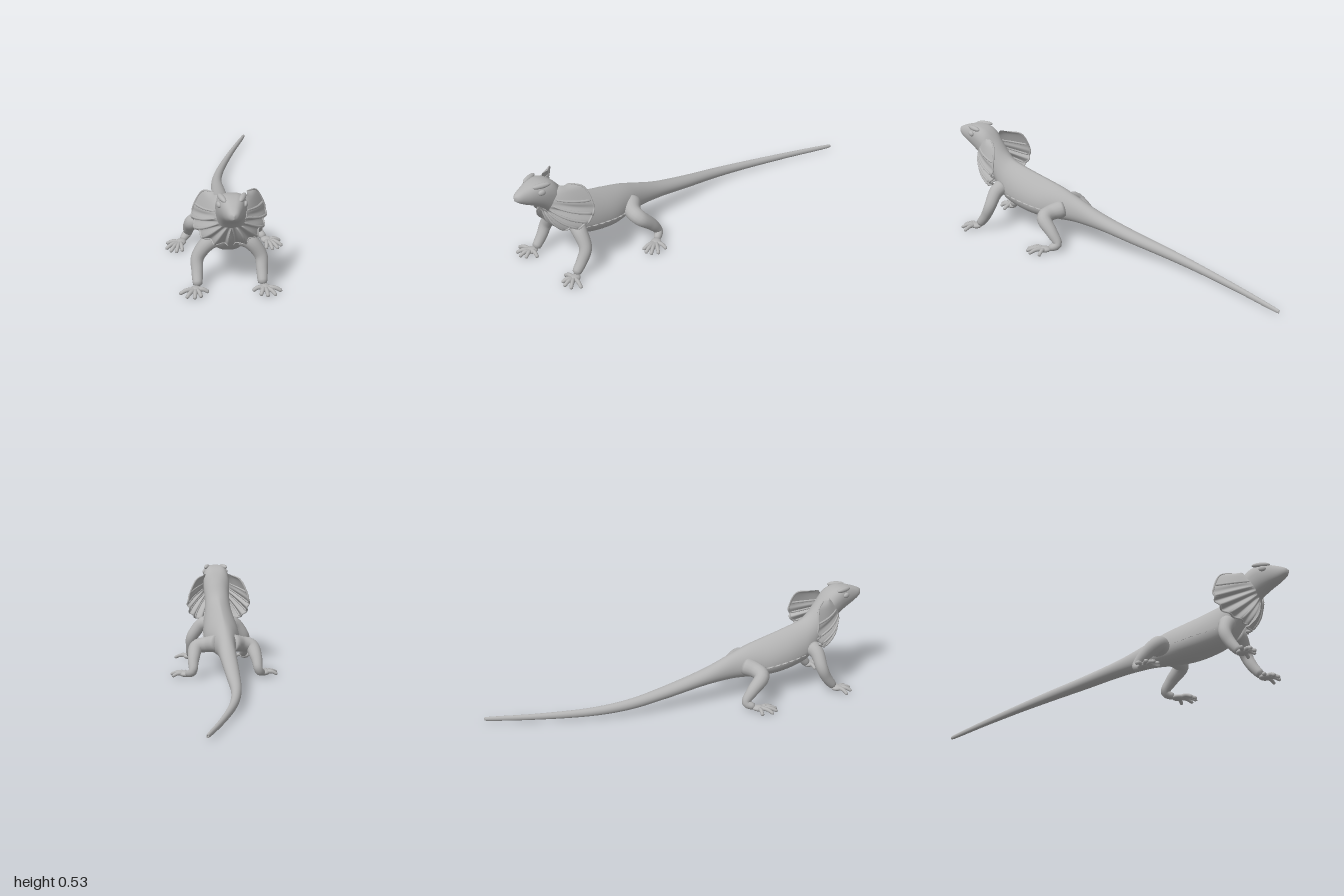
import * as THREE from 'three';
import { mergeVertices } from 'three/addons/utils/BufferGeometryUtils.js';

const skin = new THREE.MeshStandardMaterial({ color: 0xb4b4b4, side: THREE.DoubleSide });
skin.name = 'grey skin';

const V = (p) => new THREE.Vector3(...p);
const spline = (pts) => new THREE.CatmullRomCurve3(pts.map(V), false, 'catmullrom', 0.5);

// Smooth surface from fn(u, v) -> [x, y, z]
function grid(fn, nu, nv) {
  const pos = [], idx = [];
  for (let i = 0; i <= nu; i++) for (let j = 0; j <= nv; j++) pos.push(...fn(i / nu, j / nv));
  for (let i = 0; i < nu; i++) for (let j = 0; j < nv; j++) {
    const a = i * (nv + 1) + j, b = a + nv + 1;
    idx.push(a, b, a + 1, b, b + 1, a + 1);
  }
  let g = new THREE.BufferGeometry();
  g.setAttribute('position', new THREE.Float32BufferAttribute(pos, 3));
  g.setIndex(idx);
  g = mergeVertices(g, 1e-5);
  g.computeVertexNormals();
  return g;
}

// Tapered tube with rounded ends along a smooth path
function limb(pts, radii, nu = 20, nv = 12) {
  const curve = spline(pts), f = curve.computeFrenetFrames(nu, false);
  const rc = spline(radii.map((r, i) => [r, i, 0]));
  return grid((u, v) => {
    const i = Math.round(u * nu), a = (v % 1) * Math.PI * 2;
    const r = rc.getPoint(u).x * Math.sqrt(Math.max(0, 1 - (2 * u - 1) ** 20));
    return curve.getPointAt(u)
      .addScaledVector(f.normals[i], r * Math.cos(a))
      .addScaledVector(f.binormals[i], -r * Math.sin(a)).toArray();
  }, nu, nv);
}

function ellipsoid(size, at, turn = 0) {
  return new THREE.SphereGeometry(1, 20, 14).scale(...size).rotateY(turn).translate(...at);
}

// z, centre x, top, bottom, half width, height of widest point, squareness of the top
const sections = [
  [1.0, 0, 0.485, 0.47, 0, 0.5, 0.8],
  [0.985, 0, 0.498, 0.455, 0.022, 0.5, 0.8],
  [0.95, 0, 0.513, 0.432, 0.038, 0.5, 0.75],
  [0.9, 0, 0.526, 0.405, 0.055, 0.55, 0.6],
  [0.85, 0, 0.526, 0.37, 0.068, 0.6, 0.6],
  [0.8, 0, 0.506, 0.315, 0.072, 0.6, 0.7],
  [0.75, 0, 0.455, 0.235, 0.068, 0.5, 0.9],
  [0.7, 0, 0.395, 0.175, 0.075, 0.4, 1],
  [0.65, 0, 0.363, 0.145, 0.086, 0.35, 1.2],
  [0.55, 0, 0.333, 0.118, 0.095, 0.35, 1.4],
  [0.45, 0, 0.306, 0.107, 0.092, 0.35, 1.4],
  [0.35, 0, 0.277, 0.108, 0.07, 0.4, 1.2],
  [0.25, 0, 0.237, 0.11, 0.05, 0.45, 1],
  [0.1, 0, 0.18, 0.098, 0.042, 0.5, 1],
  [-0.1, 0, 0.128, 0.065, 0.035, 0.5, 1],
  [-0.3, 0.005, 0.088, 0.035, 0.026, 0.5, 1],
  [-0.5, 0.04, 0.062, 0.02, 0.02, 0.5, 1],
  [-0.75, 0.115, 0.045, 0.014, 0.014, 0.5, 1],
  [-0.98, 0.198, 0.034, 0.013, 0.009, 0.5, 1],
  [-1.0, 0.205, 0.026, 0.022, 0, 0.5, 1],
];

function bodyGeometry() {
  const a = spline(sections.map((s) => [s[1], s[2], s[0]]));
  const b = spline(sections.map((s) => [s[4], s[3], s[0]]));
  const c = spline(sections.map((s) => [s[5], s[6], s[0]]));
  return grid((u, v) => {
    const A = a.getPoint(u), B = b.getPoint(u), C = c.getPoint(u);
    const t = (v % 1) * Math.PI * 2, cos = Math.cos(t), sin = Math.sin(t);
    const mid = B.y + (A.y - B.y) * C.x;
    const x = B.x * Math.sign(cos) * Math.abs(cos) ** (sin > 0 ? C.y : 0.8);
    return [A.x + x, mid + sin * (sin > 0 ? A.y - mid : mid - B.y), A.z];
  }, 114, 40);
}

// Neck frill: a pleated sheet between the jaw line and the outer rim
const jaw = spline([[0.06, 0.49, 0.785], [0.068, 0.455, 0.81], [0.07, 0.42, 0.83], [0.062, 0.39, 0.845],
  [0.05, 0.37, 0.85], [0.025, 0.36, 0.85], [0, 0.355, 0.85]]);
const rim = spline([[0.075, 0.488, 0.745], [0.125, 0.465, 0.69], [0.165, 0.375, 0.67], [0.163, 0.315, 0.68],
  [0.135, 0.265, 0.71], [0.075, 0.24, 0.76], [0, 0.235, 0.775]]);

function frillPoint(side, t, s) {
  const p = jaw.getPoint(t).lerp(rim.getPoint(t), s);
  const pleat = 0.015 * Math.sin(s * 2.3) * THREE.MathUtils.smoothstep(t, 0.25, 0.55);
  const bulge = 0.012 * Math.sin(Math.PI * s);
  const d = pleat * Math.cos(t * Math.PI * 14) + bulge;
  p.addScaledVector(V([0.5, -0.2, 0.8]), d);
  return [p.x * side, p.y, p.z];
}

// Toe tips of the hands and feet, on the left side
const hand = { palm: [0.16, 0.02, 0.8], toes: [[0.1, 0.81], [0.135, 0.858], [0.168, 0.872], [0.207, 0.862], [0.238, 0.82]] };
const foot = { palm: [0.213, 0.02, 0.318], toes: [[0.205, 0.4], [0.236, 0.412], [0.265, 0.402], [0.287, 0.37], [0.282, 0.31]] };

export function createModel() {
  const model = new THREE.Group();
  model.name = 'lizard';
  const add = (name, geo, parent = model) => {
    const m = new THREE.Mesh(geo, skin);
    m.name = name;
    parent.add(m);
  };

  add('bodyHeadAndTail', bodyGeometry());

  for (const side of [1, -1]) {
    const word = side > 0 ? 'left' : 'right';
    const half = new THREE.Group();
    half.name = word + 'Side';
    model.add(half);
    const m = (p) => [p[0] * side, p[1], p[2]];

    // Brow ridge and eye
    add(word + 'Brow', ellipsoid([0.014, 0.013, 0.045], m([0.046, 0.518, 0.875]), -side * 0.3), half);
    add(word + 'Eye', ellipsoid([0.01, 0.014, 0.018], m([0.06, 0.49, 0.885]), -side * 0.3), half);

    // Frill sheet, thick rim and supporting ribs
    add(word + 'Frill', grid((u, v) => frillPoint(side, u, v), 84, 12), half);
    const edge = Array.from({ length: 43 }, (_, i) => frillPoint(side, i / 42, 1));
    add(word + 'FrillRim', limb(edge, [0.004, 0.005, 0.004], 84, 8), half);
    for (const k of [4, 6, 8, 10, 12]) {
      const rib = [0, 0.25, 0.5, 0.75, 1].map((s) => frillPoint(side, k / 14, s));
      add(word + 'FrillRib', limb(rib, [0.004, 0.006, 0.006], 14, 8), half);
    }

    // Scalloped skin fringe along the flank
    add(word + 'FlankFringe', grid((u, v) => {
      const taper = Math.sin(Math.PI * u) ** 0.5;
      const out = 0.07 + v * (0.026 * taper + 0.007 * Math.abs(Math.sin(u * Math.PI * 7)));
      return m([out, 0.215 - u * 0.04 - v * 0.012, 0.66 - u * 0.28]);
    }, 56, 3), half);

    // Front leg
    add(word + 'FrontLeg', limb([[0.05, 0.235, 0.69], [0.1, 0.21, 0.705], [0.146, 0.145, 0.712], [0.15, 0.085, 0.74],
      [0.15, 0.025, 0.785]].map(m), [0.045, 0.036, 0.031, 0.027, 0.022], 24, 16), half);

    // Hind leg: thigh forward, shin back, foot forward
    add(word + 'HindLeg', limb([[0.03, 0.185, 0.31], [0.09, 0.17, 0.36], [0.148, 0.155, 0.365], [0.168, 0.1, 0.305],
      [0.175, 0.045, 0.265], [0.205, 0.022, 0.305]].map(m), [0.05, 0.042, 0.038, 0.032, 0.024, 0.018], 32, 16), half);

    // Palms and toes
    for (const [name, paw, turn] of [['Hand', hand, 0.15], ['Foot', foot, 0.6]]) {
      const [px, py, pz] = paw.palm;
      add(word + name, ellipsoid([0.027, 0.015, 0.033], m(paw.palm), side * turn), half);
      for (const [x, z] of paw.toes) {
        const dx = x - px, dz = z - pz;
        const path = [[px, py, pz], [px + dx * 0.55, 0.024, pz + dz * 0.55], [x, 0.009, z]];
        add(word + name + 'Toe', limb(path.map(m), [0.011, 0.01, 0.008], 14, 10), half);
      }
    }
  }
  return model;
}
